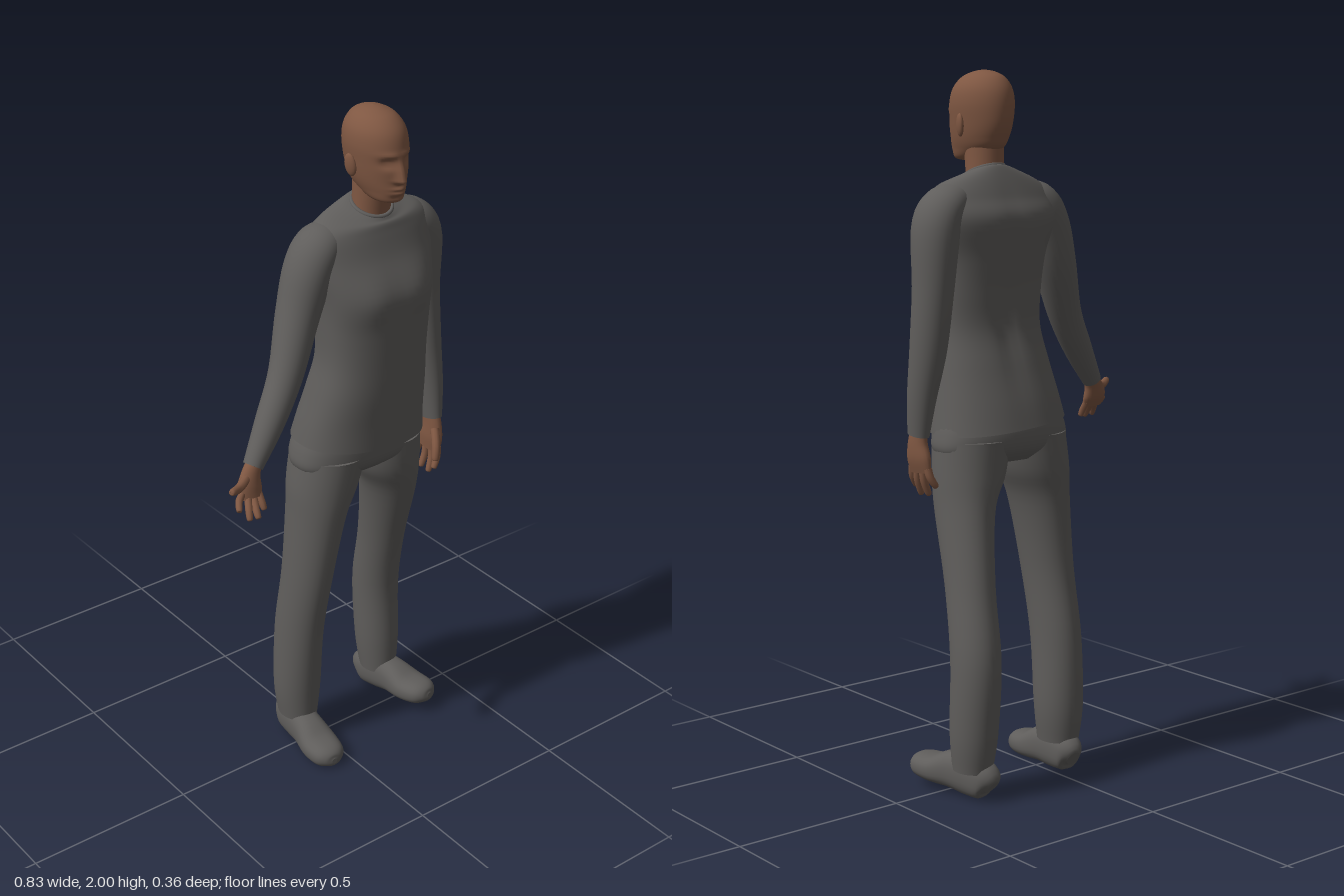
import * as THREE from 'three';

const cloth = new THREE.MeshStandardMaterial({ color: 0x5f5d5b });
cloth.name = 'grey cloth';
const skin = new THREE.MeshStandardMaterial({ color: 0x7f5742 });
skin.name = 'brown skin';

// Smoothly interpolated list of sections, rows steps from first to last
function resample(sections, rows) {
  const full = sections.map(s => [...s, ...[0, 0, 0, 0, 0, 2, 0, 0].slice(s.length)]);
  const last = full.length - 1, out = [];
  for (let i = 0; i <= rows; i++) {
    const f = (i / rows) * last, k = Math.min(Math.floor(f), last - 1), t = f - k;
    const [a, b, c, d] = [k - 1, k, k + 1, k + 2].map(j => full[Math.max(0, Math.min(last, j))]);
    out.push(b.map((_, j) => 0.5 * (2 * b[j] + (c[j] - a[j]) * t
      + (2 * a[j] - 5 * b[j] + 4 * c[j] - d[j]) * t * t
      + (3 * b[j] - a[j] - 3 * c[j] + d[j]) * t * t * t)));
  }
  return out;
}

// Skin over sections [x, y, z, radiusU, radiusV, roundness, tiltX, tiltZ]
function loft(sections, { rows = 32, segs = 32, level = false, rule = null } = {}) {
  const rings = resample(sections, rows);
  const mid = rings.map(r => new THREE.Vector3(r[0], r[1], r[2]));
  const whole = mid[rows].clone().sub(mid[0]).normalize();
  const ref = Math.abs(whole.x) > 0.8 ? new THREE.Vector3(0, 0, 1) : new THREE.Vector3(1, 0, 0);
  const pos = [], idx = [];
  rings.forEach((r, i) => {
    const t = level ? new THREE.Vector3(0, Math.sign(whole.y), 0)
      : mid[Math.min(rows, i + 1)].clone().sub(mid[Math.max(0, i - 1)]).normalize();
    const u = ref.clone().addScaledVector(t, -ref.dot(t)).normalize();
    const v = t.clone().cross(u);
    for (let j = 0; j < segs; j++) {
      const a = (j / segs) * Math.PI * 2, e = 2 / r[5];
      const c = Math.cos(a), s = Math.sin(a);
      const p = mid[i].clone()
        .addScaledVector(u, Math.sign(c) * Math.abs(c) ** e * r[3])
        .addScaledVector(v, Math.sign(s) * Math.abs(s) ** e * r[4]);
      p.y += r[6] * (p.x - r[0]) + r[7] * (p.z - r[2]);
      if (rule) rule(p);
      pos.push(p.x, p.y, p.z);
    }
  });
  for (let i = 0; i < rows; i++) for (let j = 0; j < segs; j++) {
    const a = i * segs + j, b = i * segs + (j + 1) % segs;
    idx.push(a, b, a + segs, b, b + segs, a + segs);
  }
  // End caps with their own vertices, so the rims stay crisp
  for (const i of [0, rows]) {
    const base = pos.length / 3;
    pos.push(...mid[i].toArray(), ...pos.slice(i * segs * 3, (i + 1) * segs * 3));
    for (let j = 0; j < segs; j++) {
      const a = base + 1 + j, b = base + 1 + (j + 1) % segs;
      idx.push(base, ...(i ? [a, b] : [b, a]));
    }
  }
  const g = new THREE.BufferGeometry();
  g.setAttribute('position', new THREE.Float32BufferAttribute(pos, 3));
  g.setIndex(idx);
  g.computeVertexNormals();
  return g;
}

function add(parent, name, geometry, material) {
  const m = new THREE.Mesh(geometry, material);
  m.name = name;
  parent.add(m);
  return m;
}

const bump = (d, w) => Math.exp(-((d / w) ** 2));
const CX = 0.157; // middle of the head

// Brow, eye sockets, nose and lips pressed into the front of the head
function faceRule(p) {
  if (p.z < 0.07) return;
  const dx = Math.abs(p.x - CX), y = p.y;
  const bridge = y > 1.822 ? Math.max(0, 1 - (y - 1.822) / 0.07) : Math.max(0, 1 - (1.822 - y) / 0.012);
  p.z += 0.022 * bump(dx, 0.007 + 0.008 * bridge) * bridge;
  p.z -= 0.013 * bump(dx - 0.032, 0.017) * bump(y - 1.872, 0.013);
  p.z += 0.004 * bump(dx - 0.032, 0.012) * bump(y - 1.871, 0.006);
  p.z += 0.005 * bump(dx - 0.028, 0.025) * bump(y - 1.893, 0.008);
  p.z += 0.006 * bump(dx, 0.02) * (bump(y - 1.8, 0.005) + bump(y - 1.787, 0.005));
  p.z -= 0.004 * bump(dx, 0.02) * bump(y - 1.775, 0.006);
}

// Chest swell and spine groove
function torsoRule(p) {
  const dx = p.x - 0.15;
  if (p.z > 0.08) p.z += 0.006 * bump(Math.abs(dx) - 0.075, 0.05) * bump(p.y - 1.5, 0.06);
  if (p.z < -0.02) p.z += 0.012 * bump(dx, 0.03) * bump(p.y - 1.38, 0.2);
}

// Finger through three points, tapering to a rounded tip
function finger(parent, name, a, b, c, r) {
  const tip = c.map((v, i) => v + (c[i] - b[i]) * 0.12);
  add(parent, name, loft([[...a, r, r], [...b, r * 0.95, r * 0.95], [...c, r * 0.75, r * 0.75],
    [...tip, r * 0.15, r * 0.15]], { rows: 12, segs: 10 }), skin);
}

// Shoe with its heel at the origin, pointing along +z
function shoe(parent, name, x, y, z, yaw, pitch) {
  const g = loft([[0, 0.045, 0, 0.02, 0.025], [0, 0.055, 0.02, 0.04, 0.052, 2.4],
    [0, 0.06, 0.08, 0.045, 0.062, 2.4], [0, 0.054, 0.14, 0.048, 0.054, 2.4],
    [0, 0.038, 0.2, 0.057, 0.04, 2.4], [0, 0.033, 0.255, 0.05, 0.034, 2.3],
    [0, 0.03, 0.28, 0.03, 0.022], [0, 0.03, 0.287, 0.008, 0.008]],
  { rule: p => { p.y = Math.max(p.y, 0.005); } });
  const m = add(parent, name, g, cloth);
  m.position.set(x, y, z);
  m.rotation.set(pitch, yaw, 0, 'YXZ');
}

export function createModel() {
  const model = new THREE.Group();
  model.name = 'standingMan';

  // Head, ears and neck
  const head = new THREE.Group();
  head.name = 'head';
  model.add(head);
  add(head, 'skull', loft([[CX, 1.755, 0.1, 0.015, 0.025], [CX, 1.763, 0.085, 0.042, 0.056],
    [CX, 1.79, 0.06, 0.057, 0.088], [CX, 1.82, 0.05, 0.067, 0.098], [CX, 1.86, 0.044, 0.074, 0.105],
    [CX, 1.91, 0.04, 0.079, 0.104], [CX, 1.95, 0.037, 0.073, 0.093], [CX, 1.98, 0.033, 0.053, 0.068],
    [CX, 1.995, 0.03, 0.026, 0.034], [CX, 2, 0.03, 0.002, 0.002]],
  { rows: 90, segs: 72, level: true, rule: faceRule }), skin);
  for (const s of [1, -1]) {
    const ear = add(head, s > 0 ? 'leftEar' : 'rightEar', new THREE.SphereGeometry(1, 16, 12), skin);
    ear.scale.set(0.009, 0.032, 0.018);
    ear.position.set(CX + s * 0.079, 1.852, 0.036);
    ear.rotation.set(-0.15, -s * 0.3, -s * 0.12);
  }
  add(head, 'neck', loft([[CX, 1.65, 0.02, 0.06, 0.055], [CX, 1.72, 0.027, 0.054, 0.053],
    [CX, 1.82, 0.035, 0.053, 0.06]], { level: true }), skin);

  // Shirt
  add(model, 'shirtBody', loft([[0.132, 1.03, 0.008, 0.203, 0.142, 2.3, -0.08, 0],
    [0.134, 1.1, 0.018, 0.193, 0.136, 2.3, -0.04, 0], [0.139, 1.2, 0.036, 0.178, 0.126, 2.4],
    [0.145, 1.3, 0.049, 0.166, 0.116, 2.4], [0.148, 1.4, 0.048, 0.17, 0.119, 2.4],
    [0.148, 1.5, 0.042, 0.18, 0.126, 2.4], [0.148, 1.6, 0.014, 0.205, 0.112, 2.3],
    [0.149, 1.66, 0.016, 0.2, 0.09, 2.1], [0.152, 1.697, 0.022, 0.16, 0.076, 2, 0, -0.15],
    [CX, 1.718, 0.027, 0.09, 0.063, 2, 0, -0.38], [CX, 1.725, 0.029, 0.058, 0.056, 2, 0, -0.4]],
  { rows: 60, segs: 64, level: true, rule: torsoRule }), cloth);
  const collar = add(model, 'collar', new THREE.TorusGeometry(0.057, 0.006, 8, 40), cloth);
  collar.position.set(CX, 1.724, 0.029);
  collar.rotation.x = -(Math.PI / 2 - 0.4);

  // Sleeves
  add(model, 'rightSleeve', loft([[0.05, 1.66, 0.015, 0.035, 0.05], [-0.005, 1.64, 0.015, 0.06, 0.07],
    [-0.045, 1.58, 0.016, 0.066, 0.074], [-0.09, 1.46, 0.025, 0.06, 0.064],
    [-0.155, 1.315, 0.058, 0.049, 0.049], [-0.23, 1.2, 0.084, 0.041, 0.042],
    [-0.302, 1.1, 0.105, 0.028, 0.029]]), cloth);
  add(model, 'leftSleeve', loft([[0.25, 1.665, 0.01, 0.035, 0.05], [0.305, 1.64, 0.008, 0.058, 0.07],
    [0.343, 1.58, 0.004, 0.064, 0.074], [0.355, 1.42, 0.004, 0.055, 0.062],
    [0.362, 1.26, 0.018, 0.049, 0.056], [0.37, 1.12, 0.04, 0.037, 0.046],
    [0.371, 1.015, 0.055, 0.026, 0.037]]), cloth);

  // Right hand, held out with spread fingers
  const rightHand = new THREE.Group();
  rightHand.name = 'rightHand';
  model.add(rightHand);
  add(rightHand, 'rightPalm', loft([[-0.293, 1.112, 0.103, 0.022, 0.022], [-0.312, 1.085, 0.11, 0.028, 0.021],
    [-0.325, 1.05, 0.12, 0.038, 0.02], [-0.328, 1.022, 0.132, 0.034, 0.014]], { segs: 20, rows: 16 }), skin);
  const rightFingers = [[[-0.353, 1.04, 0.125], [-0.38, 1.035, 0.148], [-0.393, 1.022, 0.168]],
    [[-0.338, 1.03, 0.13], [-0.355, 1.005, 0.158], [-0.362, 0.985, 0.172]],
    [[-0.32, 1.025, 0.13], [-0.332, 0.998, 0.16], [-0.335, 0.982, 0.174]],
    [[-0.302, 1.03, 0.128], [-0.302, 1.005, 0.145], [-0.301, 0.988, 0.153]]];
  rightFingers.forEach((f, i) => finger(rightHand, 'rightFinger' + (i + 1), ...f, 0.0105));
  finger(rightHand, 'rightThumb', [-0.325, 1.08, 0.113], [-0.372, 1.073, 0.14], [-0.41, 1.083, 0.162], 0.013);

  // Left hand, hanging at the side
  const leftHand = new THREE.Group();
  leftHand.name = 'leftHand';
  model.add(leftHand);
  add(leftHand, 'leftPalm', loft([[0.371, 1.03, 0.053, 0.02, 0.027], [0.372, 0.99, 0.057, 0.022, 0.036],
    [0.37, 0.95, 0.055, 0.022, 0.046], [0.366, 0.912, 0.052, 0.015, 0.043]], { segs: 20, rows: 16 }), skin);
  const tips = [[0.088, 0.1, 0.868], [0.065, 0.076, 0.848], [0.041, 0.042, 0.85], [0.018, 0.008, 0.875]];
  tips.forEach(([z, tipZ, tipY], i) => finger(leftHand, 'leftFinger' + (i + 1),
    [0.368, 0.925, z], [0.363, (0.925 + tipY) / 2, (z + tipZ) / 2], [0.348, tipY, tipZ], 0.0115));
  finger(leftHand, 'leftThumb', [0.36, 0.985, 0.085], [0.342, 0.945, 0.113], [0.332, 0.91, 0.123], 0.013);

  // Trousers
  add(model, 'trouserSeat', loft([[0.132, 1.1, 0.01, 0.18, 0.11, 2.3], [0.13, 1.02, 0.003, 0.206, 0.12, 2.4],
    [0.13, 0.97, 0.002, 0.208, 0.113, 2.4], [0.13, 0.935, 0, 0.17, 0.08, 2.2]],
  { level: true, segs: 48 }), cloth);
  add(model, 'rightTrouserLeg', loft([[0.032, 1, 0.003, 0.105, 0.117], [0.013, 0.9, 0, 0.1, 0.111],
    [-0.01, 0.8, 0, 0.081, 0.1], [-0.033, 0.6, -0.01, 0.068, 0.088], [-0.045, 0.4, -0.035, 0.066, 0.084],
    [-0.047, 0.2, -0.045, 0.068, 0.076], [-0.048, 0.09, -0.042, 0.056, 0.066]],
  { level: true }), cloth);
  add(model, 'leftTrouserLeg', loft([[0.232, 1, 0, 0.105, 0.117], [0.243, 0.9, -0.002, 0.098, 0.11],
    [0.267, 0.8, -0.015, 0.076, 0.097], [0.288, 0.6, -0.064, 0.064, 0.08], [0.301, 0.4, -0.105, 0.067, 0.077],
    [0.304, 0.2, -0.099, 0.065, 0.073], [0.303, 0.085, -0.09, 0.053, 0.062]],
  { level: true }), cloth);

  // Shoes, the left one turned out with its toe raised
  shoe(model, 'rightShoe', -0.045, 0, -0.115, -0.08, 0);
  shoe(model, 'leftShoe', 0.288, 0, -0.152, 0.19, -0.12);
  return model;
}
